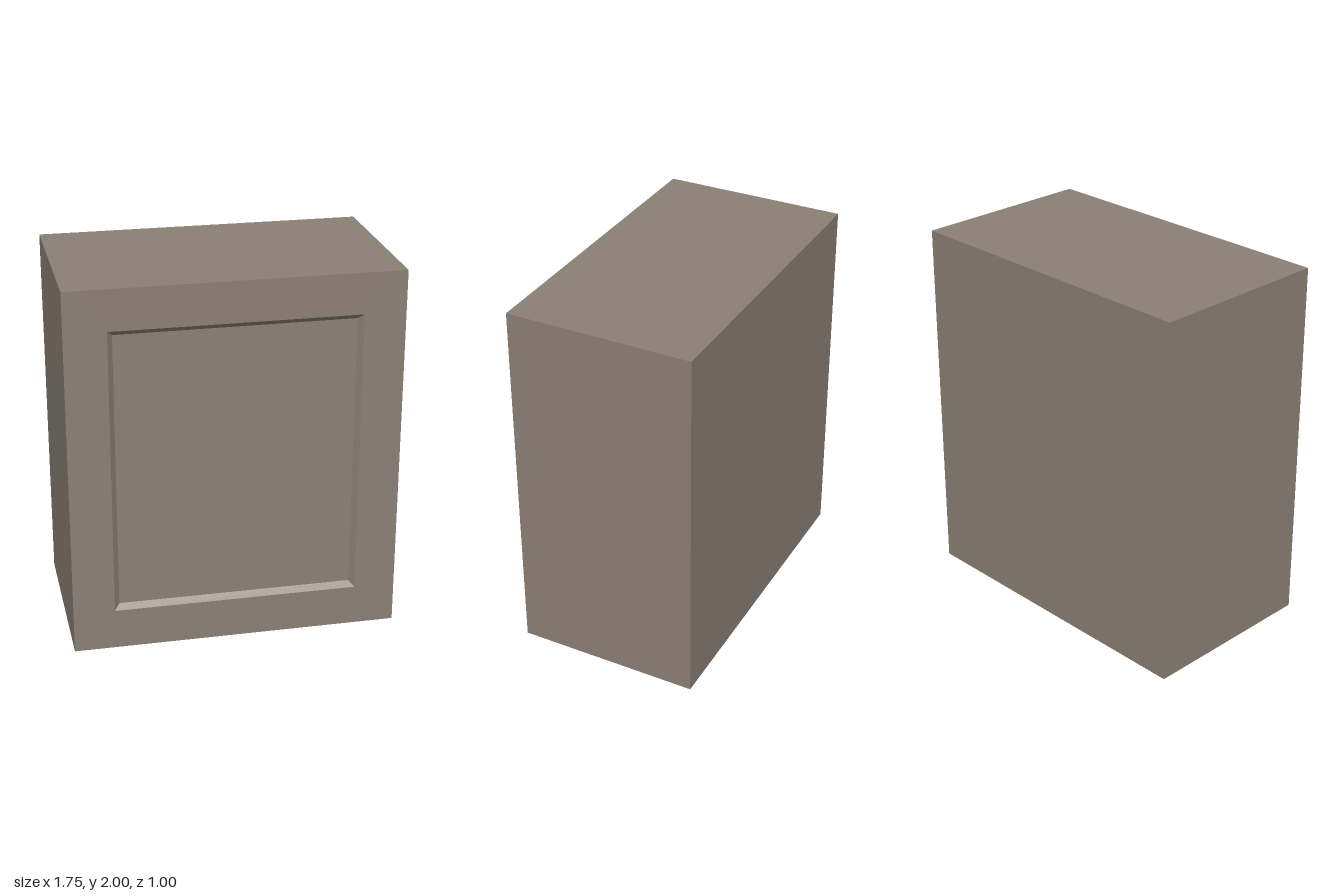
import * as THREE from 'three';

const WIDTH = 1.75, HEIGHT = 2, DEPTH = 1;
const RECESS = 0.03;

// Rectangular ring of corners, counter-clockwise seen from the front
function ring(halfW, bottom, top, z) {
  return [[-halfW, bottom, z], [halfW, bottom, z], [halfW, top, z], [-halfW, top, z]];
}

// Flat-shaded skin through successive rings, optionally capped at either end
function skin(rings, capStart, capEnd) {
  const pos = [];
  const quad = (a, b, c, d) => [a, b, c, a, c, d].forEach((p) => pos.push(...p));
  for (let i = 0; i < rings.length - 1; i++) {
    const r = rings[i], s = rings[i + 1];
    for (let j = 0; j < 4; j++) {
      const k = (j + 1) % 4;
      quad(r[j], r[k], s[k], s[j]);
    }
  }
  if (capStart) quad(...rings[0].slice().reverse());
  if (capEnd) quad(...rings[rings.length - 1]);
  const geometry = new THREE.BufferGeometry();
  geometry.setAttribute('position', new THREE.Float32BufferAttribute(pos, 3));
  geometry.computeVertexNormals();
  return geometry;
}

export function createModel() {
  const group = new THREE.Group();
  group.name = 'cabinet';
  const material = new THREE.MeshStandardMaterial({ color: 0x8b8075 });

  const front = DEPTH / 2;
  const opening = ring(0.655, 0.22, 1.78, front);
  const inset = ring(0.627, 0.248, 1.752, front - RECESS);

  const add = (name, geometry) => {
    const mesh = new THREE.Mesh(geometry, material);
    mesh.name = name;
    group.add(mesh);
  };

  // Box with a flat frame around the front opening
  add('cabinetBody', skin([
    ring(WIDTH / 2, 0, HEIGHT, -front),
    ring(WIDTH / 2, 0, HEIGHT, front),
    opening,
  ], true, false));

  // Bevelled edge leading down to the sunken panel
  add('recessedPanel', skin([opening, inset], false, true));

  return group;
}
